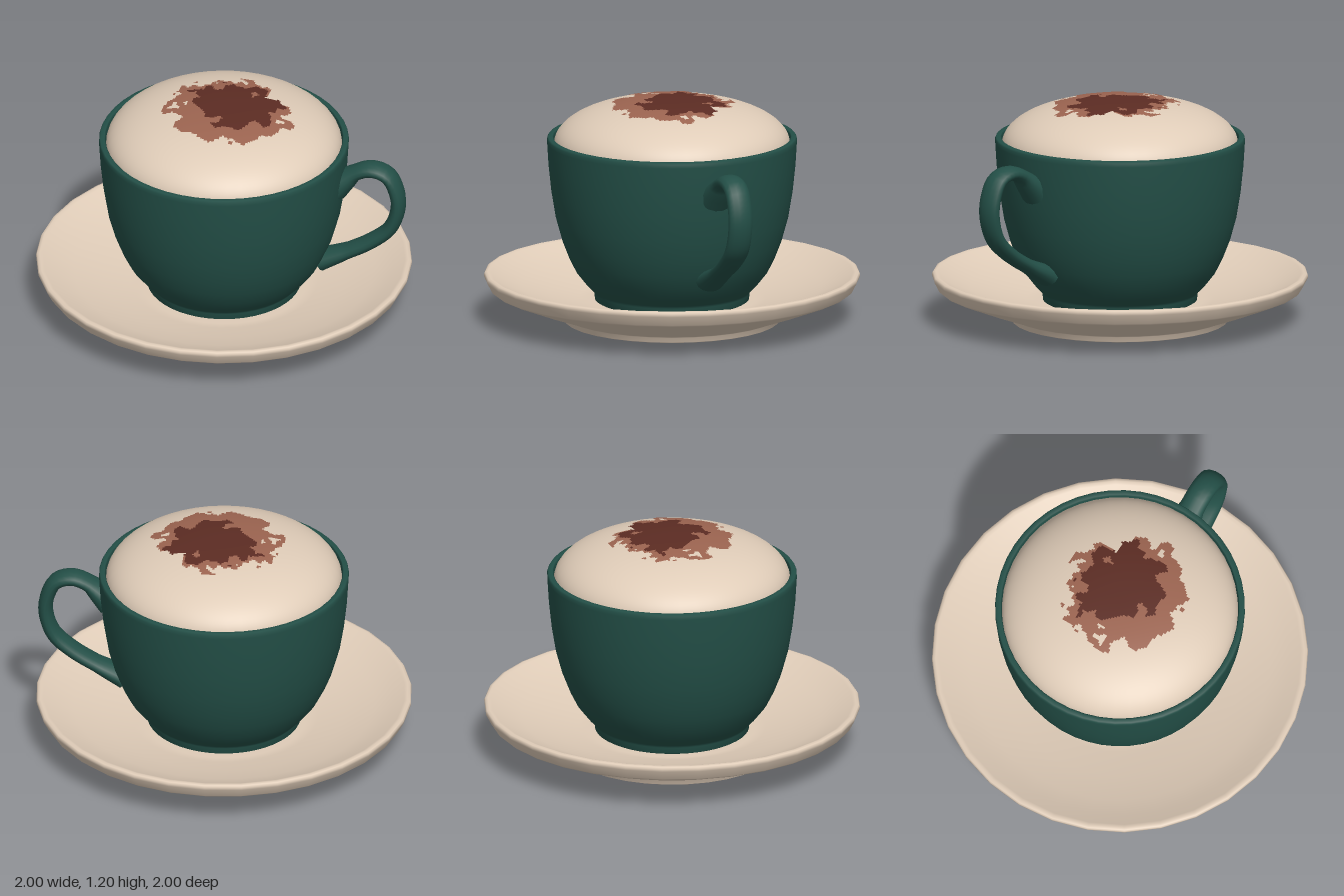
import * as THREE from 'three';
import { mergeVertices } from 'three/addons/utils/BufferGeometryUtils.js';

const material = (name, color) => {
  const m = new THREE.MeshStandardMaterial({ color });
  m.name = name;
  return m;
};

const lathe = (points, sides) =>
  new THREE.LatheGeometry(points.map(([r, y]) => new THREE.Vector2(r, y)), sides);

// Height of the foam dome at a distance from the axis
const FOAM_R = 0.628;
const foamY = r => 0.96 + 0.235 * Math.pow(Math.max(0, 1 - Math.pow(r / FOAM_R, 2.4)), 0.51);

// Smooth seeded noise in 0..1
const hash = (i, j, seed) => {
  const s = Math.sin(i * 127.1 + j * 311.7 + seed * 74.7) * 43758.5453;
  return s - Math.floor(s);
};
function noise(x, z, seed) {
  const i = Math.floor(x), j = Math.floor(z);
  const fx = x - i, fz = z - j;
  const a = THREE.MathUtils.lerp(hash(i, j, seed), hash(i + 1, j, seed), fx);
  const b = THREE.MathUtils.lerp(hash(i, j + 1, seed), hash(i + 1, j + 1, seed), fx);
  return THREE.MathUtils.lerp(a, b, fz);
}

// 0 = bare foam, 1 = light dusting, 2 = dense cocoa
function dusting(x, z) {
  const rough = (noise(x * 13, z * 13, 1) - 0.5) * 0.13 + (noise(x * 34, z * 34, 2) - 0.5) * 0.11;
  const patch = Math.hypot(x - 0.03, z - 0.02) + rough;
  const core = Math.hypot((x - 0.05) * 0.9, z + 0.02) + rough * 0.6
    + (noise(x * 16, z * 16, 5) - 0.5) * 0.15;
  if (patch > 0.31) return 0;
  return core < 0.2 ? 2 : 1;
}

// Thin layer of small cells following the foam
function dustGeometry(level) {
  const n = 76, size = 0.84, positions = [], index = [];
  const at = i => (i / n - 0.5) * size;
  for (let j = 0; j <= n; j++) {
    for (let i = 0; i <= n; i++) {
      positions.push(at(i), foamY(Math.hypot(at(i), at(j))) + 0.004, at(j));
    }
  }
  for (let j = 0; j < n; j++) {
    for (let i = 0; i < n; i++) {
      if (dusting(at(i + 0.5), at(j + 0.5)) !== level) continue;
      const a = j * (n + 1) + i, b = a + 1, c = a + n + 1, d = c + 1;
      index.push(a, c, b, b, c, d);
    }
  }
  const g = new THREE.BufferGeometry();
  g.setAttribute('position', new THREE.Float32BufferAttribute(positions, 3));
  g.setIndex(index);
  g.computeVertexNormals();
  return g;
}

// Oval tube, widened where it joins the cup
function handleGeometry() {
  const path = new THREE.CatmullRomCurve3([
    [0.61, 0.79], [0.67, 0.84], [0.73, 0.89], [0.81, 0.917], [0.895, 0.89], [0.942, 0.8],
    [0.952, 0.7], [0.91, 0.57], [0.81, 0.475], [0.68, 0.395], [0.53, 0.32]
  ].map(([x, y]) => new THREE.Vector3(x, y, 0)));
  const rings = 40, sides = 14;
  const g = new THREE.TubeGeometry(path, rings, 0.039, sides);
  const p = g.attributes.position, v = new THREE.Vector3();
  for (let i = 0; i < p.count; i++) {
    const u = Math.floor(i / (sides + 1)) / rings;
    const centre = path.getPointAt(u);
    const flare = 1 + 1.1 * Math.max(0, 1 - u / 0.13) + 0.5 * Math.max(0, (u - 0.85) / 0.15);
    v.fromBufferAttribute(p, i).sub(centre);
    v.x *= flare;
    v.y *= flare;
    v.z *= 1.75 * (1 + (flare - 1) * 0.4);
    v.add(centre);
    p.setXYZ(i, v.x, v.y, v.z);
  }
  g.deleteAttribute('uv');
  g.deleteAttribute('normal');
  const merged = mergeVertices(g, 1e-4);
  merged.computeVertexNormals();
  return merged;
}

export function createModel() {
  const group = new THREE.Group();
  const green = material('green glaze', 0x234f47);
  const cream = material('cream', 0xdfccb8);
  const cocoa = material('light cocoa', 0x9c6450);
  const darkCocoa = material('dark cocoa', 0x5c2c23);
  const add = (name, geometry, mat) => {
    const mesh = new THREE.Mesh(geometry, mat);
    mesh.name = name;
    group.add(mesh);
  };

  // Saucer: recessed base, foot ring, sloping underside, rim and well
  add('saucer', lathe([
    [0, 0.025], [0.52, 0.025], [0.53, 0.022], [0.537, 0.003], [0.545, 0], [0.567, 0],
    [0.574, 0.004], [0.58, 0.03], [0.59, 0.036], [0.75, 0.093], [0.96, 0.175], [0.972, 0.185],
    [0.998, 0.235], [1, 0.25], [0.994, 0.26], [0.98, 0.264], [0.962, 0.258],
    [0.9, 0.228], [0.8, 0.19], [0.65, 0.15], [0.5, 0.118], [0.44, 0.108], [0, 0.108]
  ], 32), cream);

  // Cup: foot, rounded wall, rim and inner wall
  add('cup', lathe([
    [0, 0.112], [0.4, 0.112], [0.41, 0.118], [0.412, 0.15], [0.42, 0.165], [0.455, 0.2],
    [0.51, 0.27], [0.55, 0.35], [0.585, 0.44], [0.618, 0.56], [0.641, 0.7], [0.656, 0.84],
    [0.664, 0.97], [0.664, 0.99], [0.658, 1], [0.636, 1], [0.63, 0.994], [0.626, 0.9], [0.6, 0.7]
  ], 48), green);

  add('handle', handleGeometry(), green);

  // Foam dome, from its edge up to the centre
  const dome = [];
  for (let i = 0; i <= 28; i++) {
    const r = FOAM_R * Math.cos((i / 28) * Math.PI / 2);
    dome.push([i === 28 ? 0 : r, foamY(r)]);
  }
  add('foam', lathe(dome, 48), cream);

  add('cocoaDusting', dustGeometry(1), cocoa);
  add('denseCocoaDusting', dustGeometry(2), darkCocoa);
  return group;
}
